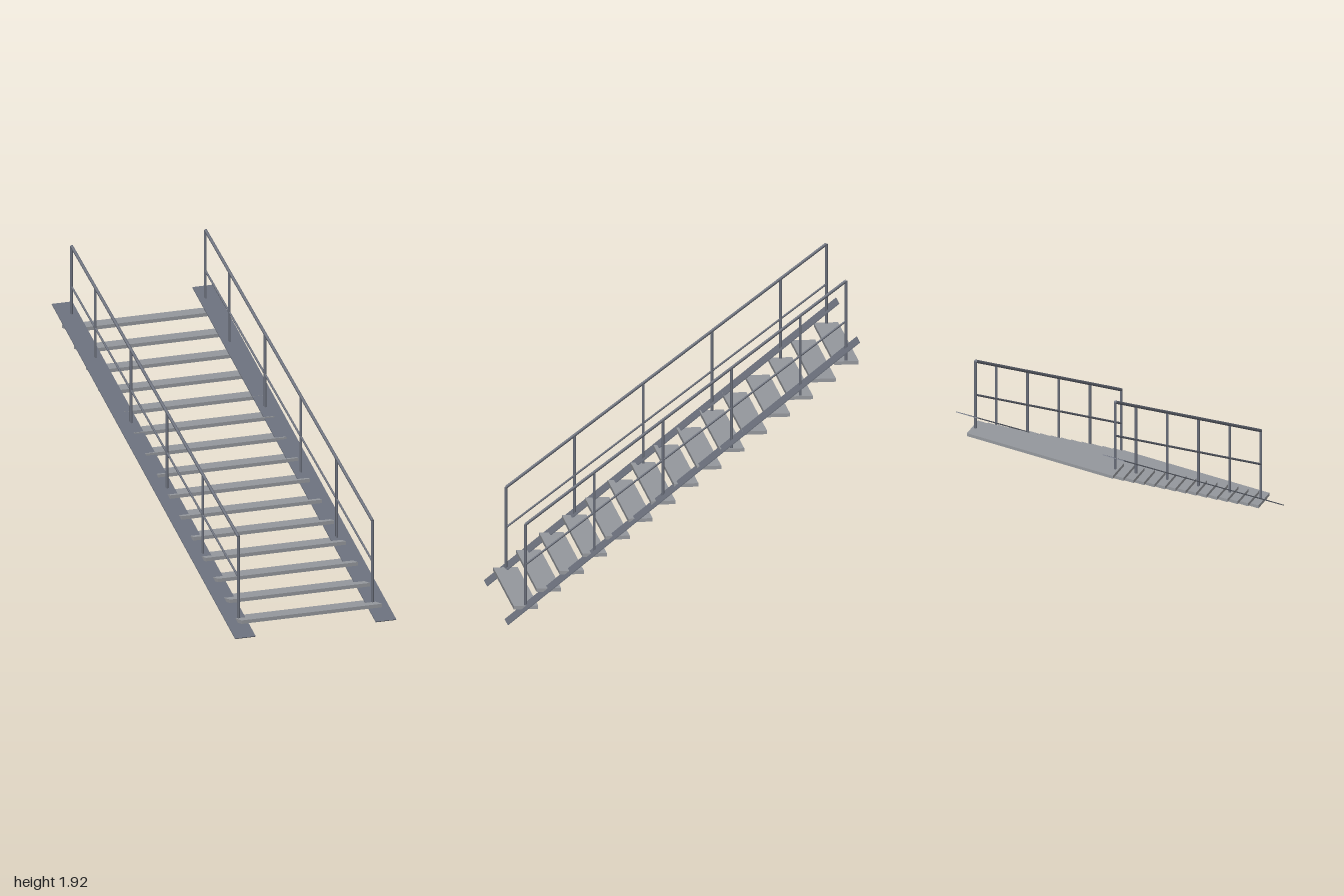
import * as THREE from 'three';

export function createModel() {
  const model = new THREE.Group();
  model.name = 'staircase';
  const steel = new THREE.MeshStandardMaterial({ name: 'slate steel', color: 0x6b707c });
  const tread = new THREE.MeshStandardMaterial({ name: 'grey tread', color: 0x96999e });

  const add = (name, geometry, material, x, y, z) => {
    const mesh = new THREE.Mesh(geometry, material);
    mesh.name = name;
    mesh.position.set(x, y, z);
    model.add(mesh);
    return mesh;
  };

  // Round bar between two points given as [y, z] at one x
  const bar = (name, x, [y0, z0], [y1, z1], radius) => {
    const length = Math.hypot(y1 - y0, z1 - z0);
    const mesh = add(name, new THREE.CylinderGeometry(radius, radius, length, 8),
      steel, x, (y0 + y1) / 2, (z0 + z1) / 2);
    mesh.rotation.x = Math.atan2(z1 - z0, y1 - y0);
  };

  // Open treads
  const steps = 15, rise = 0.0972, run = 0.1298;
  const stepY = i => 0.083 + i * rise;
  const stepZ = i => 0.886 - i * run;
  const treadGeometry = new THREE.BoxGeometry(0.92, 0.02, 0.138);
  for (let i = 0; i < steps; i++) {
    add(`tread${i + 1}`, treadGeometry, tread, 0, stepY(i), stepZ(i));
  }

  const slope = Math.atan2(1.576, 1.996);
  const stringerGeometry = new THREE.BoxGeometry(0.134, 0.005, Math.hypot(1.576, 1.996));
  const railStart = 0.56, railEnd = 1.914;
  const last = steps - 1;

  for (const [label, side] of [['left', 1], ['right', -1]]) {
    // Flat sloping stringer
    const stringer = add(`${label}Stringer`, stringerGeometry, steel, side * 0.462, 0.79, 0);
    stringer.rotation.x = slope;

    // Posts standing on every third tread and on the last
    const x = side * 0.44;
    for (const i of [0, 3, 6, 9, 12, last]) {
      const top = railStart + (railEnd - railStart) * i / last;
      bar(`${label}Post`, x, [stepY(i), stepZ(i)], [top, stepZ(i)], 0.008);
    }

    // Handrail and middle rail
    bar(`${label}Handrail`, x, [railStart, stepZ(0)], [railEnd, stepZ(last)], 0.009);
    bar(`${label}MiddleRail`, x, [0.328, stepZ(0)], [1.682, stepZ(last)], 0.006);
  }
  return model;
}
